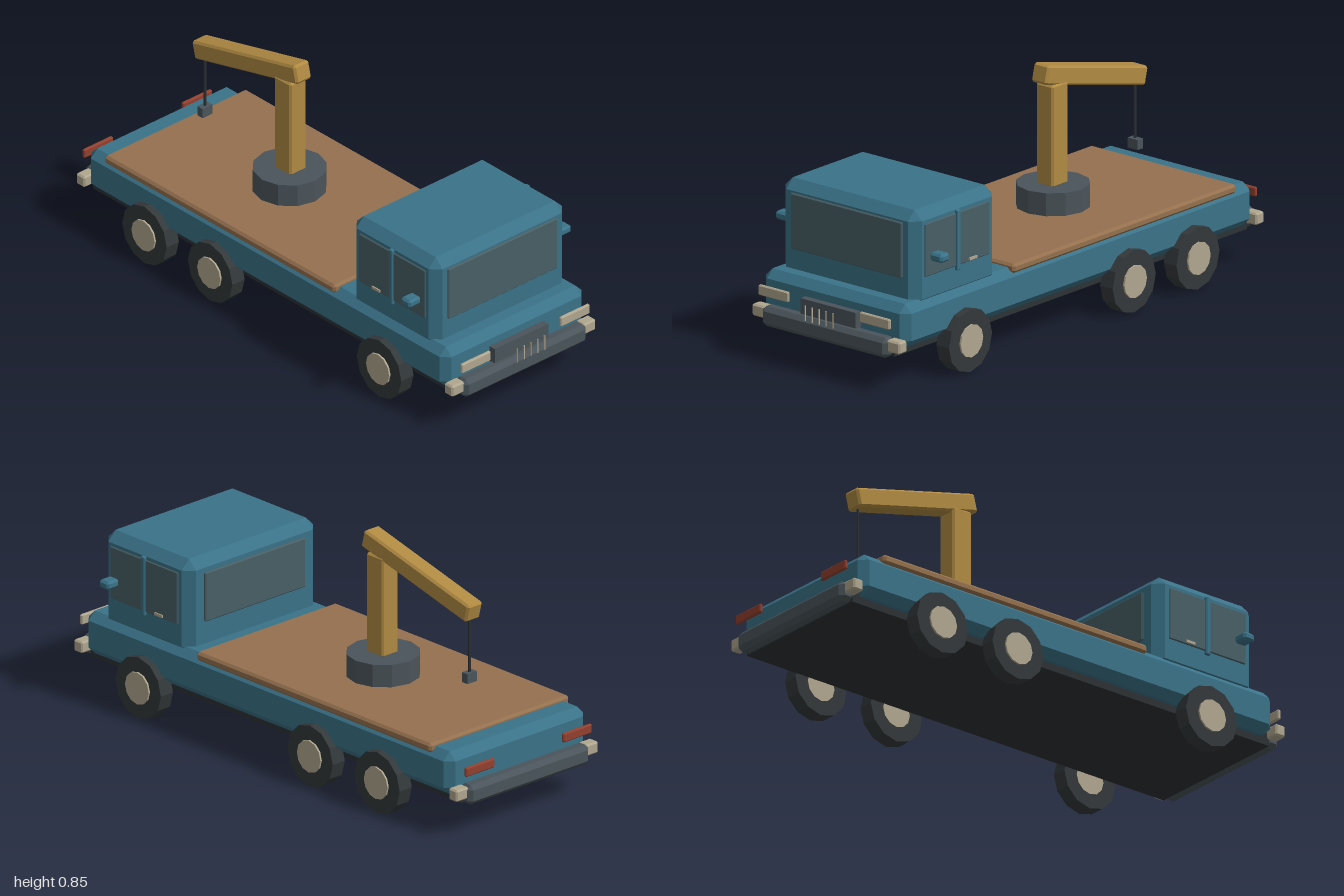
import * as THREE from 'three';
import { ConvexGeometry } from 'three/addons/geometries/ConvexGeometry.js';

const paint = (color) => new THREE.MeshStandardMaterial({ color, flatShading: true });
const TEAL = paint(0x3a7288), GLASS = paint(0x485f66), DARK = paint(0x4a545a), BLACK = paint(0x2c3134),
  TYRE = paint(0x33383a), CREAM = paint(0xb0a68f), WOOD = paint(0x94704e), YELLOW = paint(0xb08a42), RED = paint(0x93402e);

// Box with every edge cut at 45 degrees by b
function chamferBox(w, h, d, b) {
  const pts = [], x = w / 2, y = h / 2, z = d / 2;
  for (const i of [-1, 1]) for (const j of [-1, 1]) for (const k of [-1, 1]) {
    pts.push(
      new THREE.Vector3(i * x, j * (y - b), k * (z - b)),
      new THREE.Vector3(i * (x - b), j * y, k * (z - b)),
      new THREE.Vector3(i * (x - b), j * (y - b), k * z));
  }
  return new ConvexGeometry(pts);
}

export function createModel() {
  const truck = new THREE.Group();
  truck.name = 'craneTruck';

  function add(name, geometry, material, x, y, z) {
    const mesh = new THREE.Mesh(geometry, material);
    mesh.name = name;
    mesh.position.set(x, y, z);
    truck.add(mesh);
    return mesh;
  }
  // Box given by its limits, with an optional chamfer
  function box(name, material, [x0, x1], [y0, y1], [z0, z1], bevel = 0) {
    const w = x1 - x0, h = y1 - y0, d = z1 - z0;
    const geometry = bevel ? chamferBox(w, h, d, bevel) : new THREE.BoxGeometry(w, h, d);
    return add(name, geometry, material, (x0 + x1) / 2, (y0 + y1) / 2, (z0 + z1) / 2);
  }
  // The same box on the left and the right
  function pair(name, material, [x0, x1], ys, zs, bevel) {
    box(name + 'Left', material, [x0, x1], ys, zs, bevel);
    box(name + 'Right', material, [-x1, -x0], ys, zs, bevel);
  }

  // Chassis, body and load deck
  box('chassis', BLACK, [-0.29, 0.29], [0.12, 0.17], [-0.95, 0.93]);
  box('body', TEAL, [-0.335, 0.335], [0.147, 0.307], [-0.94, 0.922], 0.03);
  box('deck', WOOD, [-0.335, 0.335], [0.287, 0.321], [-0.843, 0.347], 0.009);

  // Cab and its windows
  box('cab', TEAL, [-0.315, 0.315], [0.27, 0.627], [0.405, 0.848], 0.035);
  box('windshield', GLASS, [-0.257, 0.257], [0.38, 0.585], [0.838, 0.855], 0.004);
  box('rearWindow', GLASS, [-0.24, 0.24], [0.39, 0.575], [0.397, 0.415], 0.004);
  pair('sideWindow', GLASS, [0.305, 0.32], [0.385, 0.58], [0.457, 0.8], 0.003);
  pair('doorPillar', TEAL, [0.312, 0.327], [0.37, 0.592], [0.618, 0.638], 0.003);
  pair('doorHandle', CREAM, [0.312, 0.325], [0.39, 0.4], [0.53, 0.57]);
  pair('mirror', TEAL, [0.327, 0.384], [0.445, 0.476], [0.742, 0.79], 0.008);

  // Bumpers with corner blocks
  box('frontBumper', DARK, [-0.29, 0.29], [0.12, 0.193], [0.918, 0.978], 0.016);
  box('rearBumper', DARK, [-0.29, 0.29], [0.12, 0.193], [-1, -0.94], 0.016);
  pair('frontBumperCorner', CREAM, [0.28, 0.34], [0.144, 0.188], [0.92, 0.964], 0.006);
  pair('rearBumperCorner', CREAM, [0.28, 0.34], [0.144, 0.188], [-0.984, -0.94], 0.006);

  // Grille and lamps
  box('grille', DARK, [-0.127, 0.127], [0.19, 0.25], [0.92, 0.95]);
  for (let i = -2; i <= 2; i++) {
    box('grilleBar', CREAM, [i * 0.032 - 0.002, i * 0.032 + 0.002], [0.192, 0.248], [0.996, 1]);
  }
  pair('headlight', CREAM, [0.165, 0.302], [0.23, 0.268], [0.96, 0.974], 0.004);
  pair('tailLight', RED, [0.165, 0.302], [0.232, 0.266], [-0.993, -0.979], 0.004);

  // Wheels: one front axle, two rear axles
  const tyre = new THREE.CylinderGeometry(0.115, 0.115, 0.058, 12).rotateZ(Math.PI / 2);
  const hub = new THREE.CylinderGeometry(0.06, 0.06, 0.066, 12).rotateZ(Math.PI / 2);
  for (const z of [0.61, -0.263, -0.603]) for (const side of [-1, 1]) {
    add('tyre', tyre, TYRE, side * 0.334, 0.115, z);
    add('hub', hub, CREAM, side * 0.337, 0.115, z);
  }

  // Crane: turntable, mast, sloping boom, cable and hook block
  add('turntable', new THREE.CylinderGeometry(0.132, 0.132, 0.09, 12), DARK, 0, 0.36, -0.25);
  box('mast', YELLOW, [-0.039, 0.039], [0.4, 0.775], [-0.289, -0.203], 0.007);
  const boom = add('boom', chamferBox(0.072, 0.07, 0.55, 0.008), YELLOW, 0, 0.753, -0.446);
  boom.rotation.x = -0.245;
  add('cable', new THREE.CylinderGeometry(0.005, 0.005, 0.23, 6), BLACK, 0, 0.565, -0.688);
  box('hookBlock', DARK, [-0.023, 0.023], [0.42, 0.457], [-0.702, -0.674]);

  return truck;
}
